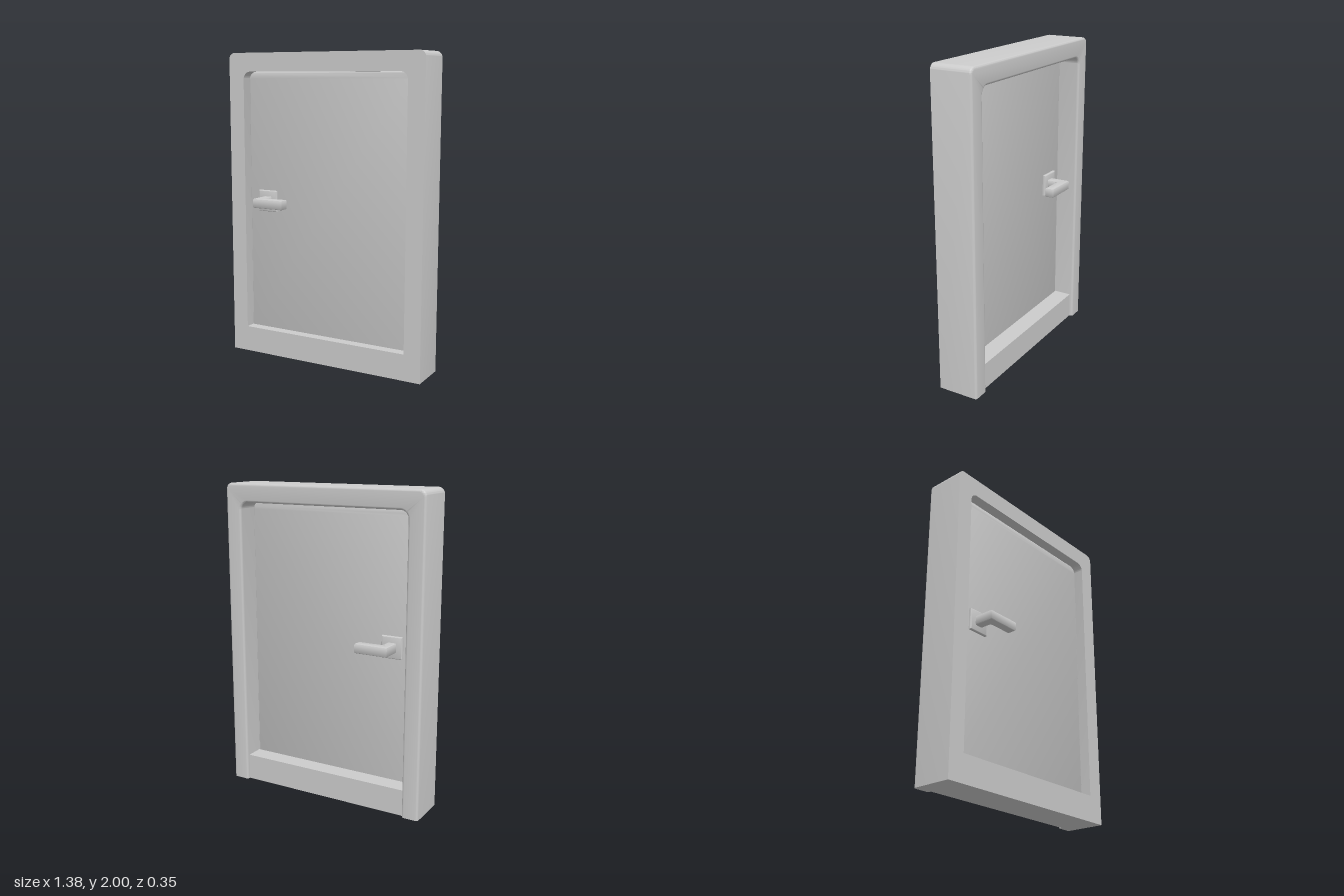
import * as THREE from 'three';
import { toCreasedNormals } from 'three/addons/utils/BufferGeometryUtils.js';

const material = new THREE.MeshStandardMaterial({ color: 0xcccccc });
const FRONT = 0.09, BACK = -0.175, SILL = 0.17;
const DOOR_FRONT = 0.025, DOOR_BACK = -0.035;

function addMesh(parent, name, geometry) {
  const mesh = new THREE.Mesh(geometry, material);
  mesh.name = name;
  parent.add(mesh);
  return mesh;
}

// Extrusion from z0 to z1 whose rounded edges stay inside the outline
function rounded(shape, z0, z1, bevel) {
  const g = new THREE.ExtrudeGeometry(shape, {
    depth: z1 - z0 - 2 * bevel, bevelEnabled: true, bevelThickness: bevel,
    bevelSize: bevel, bevelOffset: -bevel, bevelSegments: 4, curveSegments: 8,
  });
  return g.translate(0, 0, z0 + bevel);
}

// Flattens everything beyond a limit onto a plane, leaving a sharp edge there
function flatten(g, minY, maxZ) {
  const p = g.attributes.position;
  for (let i = 0; i < p.count; i++) {
    p.setY(i, Math.max(p.getY(i), minY));
    p.setZ(i, Math.min(p.getZ(i), maxZ));
  }
  return g;
}

const finish = (g) => toCreasedNormals(g, 0.6);

// Upright panel outline with two round top corners
function panelShape(halfWidth, bottom, top, r) {
  const s = new THREE.Shape();
  s.moveTo(-halfWidth, bottom);
  s.lineTo(halfWidth, bottom);
  s.lineTo(halfWidth, top - r);
  s.absarc(halfWidth - r, top - r, r, 0, Math.PI / 2, false);
  s.lineTo(-halfWidth + r, top);
  s.absarc(-halfWidth + r, top - r, r, Math.PI / 2, Math.PI, false);
  s.closePath();
  return s;
}

// Jambs and head as one arch, open at the floor
function archShape(outer, inner, bottom) {
  const s = new THREE.Shape();
  s.moveTo(inner, bottom);
  s.lineTo(outer, bottom);
  s.lineTo(outer, 1.96);
  s.absarc(outer - 0.04, 1.96, 0.04, 0, Math.PI / 2, false);
  s.lineTo(-outer + 0.04, 2);
  s.absarc(-outer + 0.04, 1.96, 0.04, Math.PI / 2, Math.PI, false);
  s.lineTo(-outer, bottom);
  s.lineTo(-inner, bottom);
  s.lineTo(-inner, 1.83);
  s.absarc(-inner + 0.05, 1.83, 0.05, Math.PI, Math.PI / 2, true);
  s.lineTo(inner - 0.05, 1.88);
  s.absarc(inner - 0.05, 1.83, 0.05, Math.PI / 2, 0, true);
  s.closePath();
  return s;
}

// Square plate and L-shaped lever, standing out along +z from the door face
function createHandle(name) {
  const handle = new THREE.Group();
  handle.name = name;

  const plate = new THREE.Shape();
  plate.moveTo(-0.07, -0.07);
  plate.lineTo(0.07, -0.07);
  plate.lineTo(0.07, 0.07);
  plate.lineTo(-0.07, 0.07);
  plate.closePath();
  addMesh(handle, 'handlePlate', finish(rounded(plate, -0.008, 0.018, 0.007)));

  const lever = new THREE.Shape();
  lever.moveTo(-0.03, 0);
  lever.lineTo(0.03, 0);
  lever.lineTo(0.03, 0.07);
  lever.quadraticCurveTo(0.03, 0.085, 0.045, 0.085);
  lever.lineTo(0.19, 0.085);
  lever.lineTo(0.19, 0.145);
  lever.lineTo(-0.03, 0.145);
  lever.closePath();
  addMesh(handle, 'handleLever',
    finish(rounded(lever, -0.031, 0.031, 0.01).rotateX(Math.PI / 2)));
  return handle;
}

export function createModel() {
  const model = new THREE.Group();
  model.name = 'framedDoor';

  // Frame: sharp at the front, rounded along the back edges
  addMesh(model, 'frame',
    finish(flatten(rounded(archShape(0.69, 0.58, -0.05), BACK, FRONT + 0.015, 0.015), 0, FRONT)));

  // Sill: flush at the front, slightly set back behind
  const sillBack = BACK + 0.022;
  addMesh(model, 'sill', new THREE.BoxGeometry(1.16, SILL, FRONT - sillBack)
    .translate(0, SILL / 2, (FRONT + sillBack) / 2));

  // Door leaf with softened edges
  addMesh(model, 'doorLeaf',
    finish(rounded(panelShape(0.58, SILL - 0.02, 1.88, 0.05), DOOR_BACK, DOOR_FRONT, 0.008)));

  // Handles on both faces
  const front = createHandle('frontHandle');
  front.position.set(-0.435, 1.038, DOOR_FRONT);
  const back = createHandle('backHandle');
  back.position.set(-0.435, 1.038, DOOR_BACK);
  back.rotation.x = Math.PI;
  model.add(front, back);

  return model;
}
